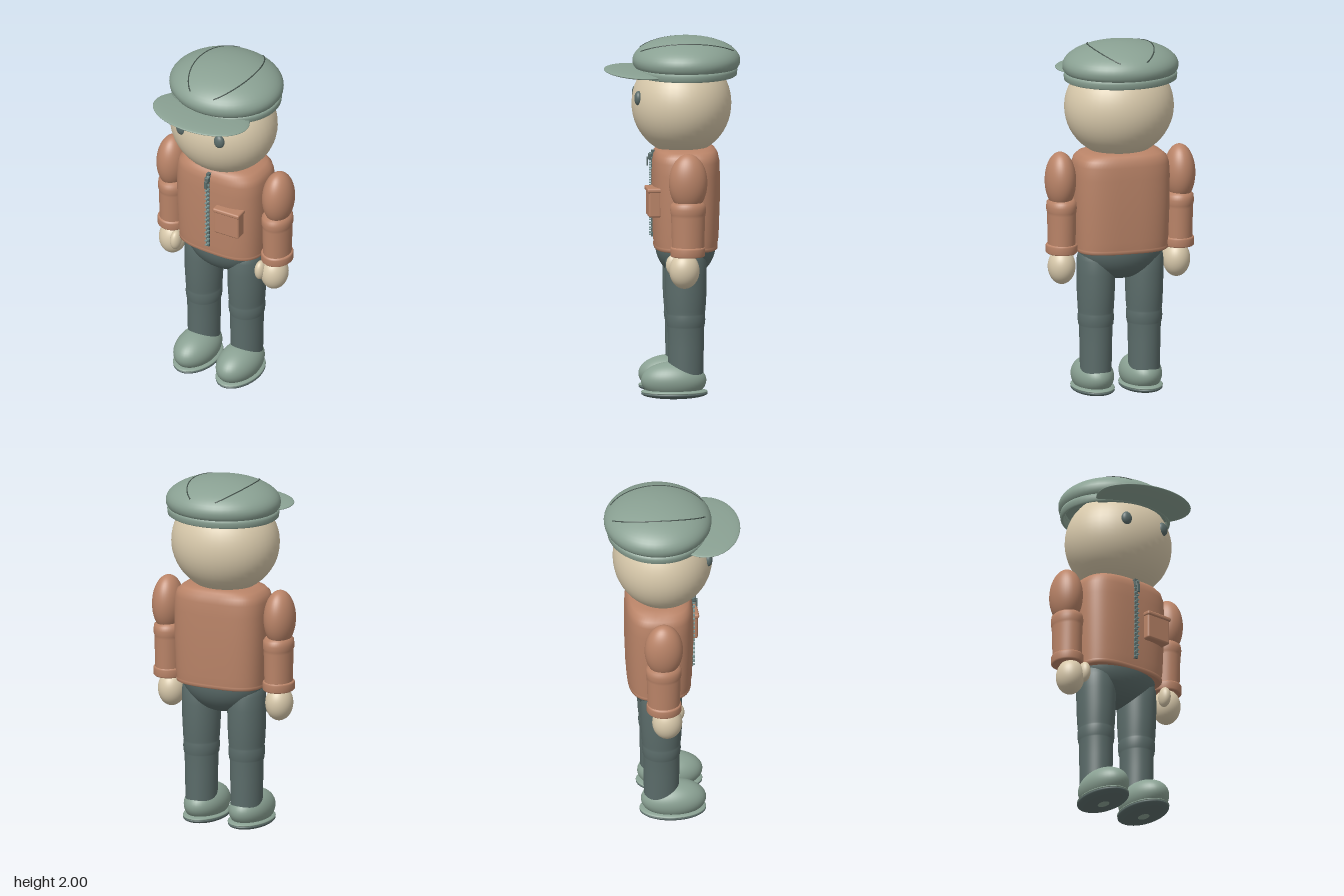
import * as THREE from 'three';
import { RoundedBoxGeometry } from 'three/addons/geometries/RoundedBoxGeometry.js';

const mat = (name, color, extra = {}) => {
  const m = new THREE.MeshStandardMaterial({ color, ...extra });
  m.name = name;
  return m;
};

export function createModel() {
  const root = new THREE.Group();
  root.name = 'capped figure';

  const skin = mat('skin', 0xd8c9ab);
  const jacket = mat('jacket', 0xba8468);
  const green = mat('cap and shoe green', 0x8aa193);
  const dark = mat('trouser slate', 0x5b6c6a);
  const seamMat = mat('seam', 0x46534d);
  const metal = mat('zip metal', 0x7d9896);

  const add = (name, geo, material, x = 0, y = 0, z = 0, parent = root) => {
    const m = new THREE.Mesh(geo, material);
    m.name = name;
    m.position.set(x, y, z);
    parent.add(m);
    return m;
  };

  const sphere = new THREE.SphereGeometry(1, 40, 28);
  const ball = (name, material, [x, y, z], r, parent = root) => {
    const m = add(name, sphere, material, x, y, z, parent);
    m.scale.set(...r);
    return m;
  };

  // Skin over superellipse rings [y, rx, rz]; repeat a ring for a sharp edge
  const loft = (rings, n = 2, seg = 48) => {
    const pos = [], idx = [];
    const p = (v) => Math.sign(v) * Math.abs(v) ** (2 / n);
    rings.forEach(([y, rx, rz], j) => {
      for (let i = 0; i < seg; i++) {
        const t = (i / seg) * Math.PI * 2;
        pos.push(rx * p(Math.cos(t)), y, rz * p(Math.sin(t)));
        if (j === rings.length - 1) continue;
        const a = j * seg + i, b = j * seg + ((i + 1) % seg);
        idx.push(a, a + seg, b, b, a + seg, b + seg);
      }
    });
    const g = new THREE.BufferGeometry();
    g.setAttribute('position', new THREE.Float32BufferAttribute(pos, 3));
    g.setIndex(idx);
    g.computeVertexNormals();
    return g;
  };

  // Head and eyes
  ball('head', skin, [0, 1.63, -0.053], [0.305, 0.285, 0.275]);
  for (const s of [-1, 1]) ball('eye', dark, [s * 0.122, 1.675, 0.19], [0.032, 0.04, 0.023]);

  // Cap: domed crown, band, peak and seams
  const cap = new THREE.Group();
  cap.name = 'cap';
  root.add(cap);
  const crown = [[1.82, 0.285, 0.258], [1.83, 0.308, 0.283], [1.848, 0.32, 0.294]];
  for (let i = 0; i <= 14; i++) {
    const a = (i / 14) * Math.PI / 2;
    crown.push([1.868 + 0.132 * Math.sin(a), 0.322 * Math.cos(a), 0.297 * Math.cos(a)]);
  }
  add('capCrown', loft(crown), green, 0, 0, -0.08, cap);
  add('capBand', loft([
    [1.84, 0, 0], [1.84, 0.285, 0.255], [1.84, 0.285, 0.255], [1.79, 0.295, 0.262],
    [1.784, 0.304, 0.27], [1.79, 0.313, 0.278], [1.815, 0.316, 0.281],
    [1.829, 0.312, 0.278], [1.834, 0.295, 0.265],
  ]), green, 0, 0, -0.08, cap);
  const peak = ball('capPeak', green, [0, 1.806, 0.18], [0.291, 0.02, 0.195], cap);
  peak.rotation.x = -0.06;
  for (const s of [-1, 1]) {
    const pts = [];
    for (let i = 0; i <= 24; i++) {
      const z = -0.255 + 0.51 * (i / 24);
      const x = 0.173 * Math.sqrt(1 - (z / 0.283) ** 2);
      const y = 1.868 + 0.132 * Math.sqrt(1 - (x / 0.322) ** 2 - (z / 0.297) ** 2);
      pts.push(new THREE.Vector3(s * x, y, z));
    }
    add('capSeam', new THREE.TubeGeometry(new THREE.CatmullRomCurve3(pts), 48, 0.0035, 6),
      seamMat, 0, 0, -0.08, cap);
  }

  // Jacket body with hem
  add('jacketBody', loft([
    [0.83, 0, 0], [0.83, 0.25, 0.167], [0.83, 0.25, 0.167], [0.836, 0.258, 0.175],
    [0.85, 0.258, 0.175], [0.854, 0.255, 0.173], [0.9, 0.26, 0.18], [1.1, 0.267, 0.187],
    [1.25, 0.268, 0.187], [1.32, 0.264, 0.184], [1.355, 0.252, 0.177],
    [1.378, 0.225, 0.162], [1.39, 0.18, 0.135], [1.394, 0.1, 0.08], [1.395, 0, 0],
  ], 3, 64), jacket, 0, 0, -0.075);

  // Zip: tape, paired teeth, slider and pull
  const zip = new THREE.Group();
  zip.name = 'zip';
  root.add(zip);
  add('zipTape', new THREE.BoxGeometry(0.02, 0.48, 0.03), dark, 0, 1.13, 0.1, zip);
  const tooth = new THREE.BoxGeometry(0.013, 0.007, 0.014);
  for (let i = 0; i < 34; i++) {
    add('zipTooth', tooth, metal, i % 2 ? 0.006 : -0.006, 0.9 + i * 0.0138, 0.118, zip);
  }
  add('zipSlider', new RoundedBoxGeometry(0.026, 0.035, 0.02, 2, 0.006), dark, 0, 1.335, 0.122, zip);
  add('zipPull', new RoundedBoxGeometry(0.018, 0.05, 0.01, 2, 0.004), dark, 0, 1.308, 0.135, zip);

  // Chest pocket with flap
  const pocket = new THREE.Group();
  pocket.name = 'pocket';
  pocket.position.set(0.134, 1.1, 0.108);
  pocket.rotation.y = 0.06;
  root.add(pocket);
  add('pocketPouch', new RoundedBoxGeometry(0.155, 0.155, 0.07, 3, 0.012), jacket, 0, 0, 0, pocket);
  add('pocketFlap', new RoundedBoxGeometry(0.165, 0.026, 0.084, 3, 0.01), jacket, 0, 0.072, 0, pocket);

  // Hips
  ball('hips', dark, [0, 0.85, -0.075], [0.24, 0.186, 0.167]);

  // Limb shapes shared by both sides
  const legGeo = loft([
    [0.12, 0, 0], [0.12, 0.086, 0.096], [0.12, 0.086, 0.096], [0.3, 0.089, 0.099], [0.405, 0.092, 0.1],
    [0.412, 0.096, 0.103], [0.445, 0.1, 0.107], [0.475, 0.098, 0.106], [0.484, 0.096, 0.104],
    [0.5, 0.099, 0.108], [0.6, 0.104, 0.114], [0.7, 0.106, 0.115], [0.78, 0.105, 0.112],
    [0.83, 0.095, 0.095], [0.87, 0.06, 0.06], [0.88, 0, 0],
  ]);
  const forearmGeo = loft([
    [0.85, 0.075, 0.088], [0.95, 0.077, 0.091], [1.045, 0.079, 0.094], [1.06, 0.08, 0.095],
    [1.066, 0.083, 0.098], [1.09, 0.084, 0.099], [1.115, 0.081, 0.095], [1.13, 0.065, 0.075], [1.14, 0, 0],
  ]);
  const cuffGeo = loft([
    [0.825, 0, 0], [0.825, 0.08, 0.09], [0.825, 0.08, 0.09], [0.832, 0.087, 0.096],
    [0.868, 0.087, 0.096], [0.876, 0.083, 0.093], [0.88, 0.07, 0.083],
  ]);

  for (const s of [-1, 1]) {
    const side = s > 0 ? 'left' : 'right';
    const arm = new THREE.Group();
    arm.name = side + 'Arm';
    const leg = new THREE.Group();
    leg.name = side + 'Leg';
    root.add(arm, leg);

    // Sleeve, cuff, hand and thumb
    ball('upperSleeve', jacket, [s * 0.343, 1.235, -0.072], [0.085, 0.16, 0.106], arm);
    add('forearmSleeve', forearmGeo, jacket, s * 0.336, 0, -0.072, arm);
    add('cuff', cuffGeo, jacket, s * 0.336, 0, -0.07, arm);
    ball('hand', skin, [s * 0.33, 0.745, -0.052], [0.076, 0.1, 0.083], arm);
    ball('thumb', skin, [s * 0.275, 0.77, 0.005], [0.03, 0.058, 0.042], arm);

    // Trouser leg, shoe and sole
    add('trouserLeg', legGeo, dark, s * 0.139, 0, -0.07, leg);
    ball('shoe', green, [s * 0.138, 0.109, -0.003], [0.113, 0.104, 0.18], leg);
    ball('soleWelt', green, [s * 0.138, 0.047, -0.007], [0.116, 0.02, 0.184], leg);
    ball('sole', dark, [s * 0.138, 0.037, -0.007], [0.115, 0.03, 0.183], leg);
  }

  // Rest the figure on the ground
  root.children.forEach((c) => { c.position.y -= 0.002; });
  return root;
}
